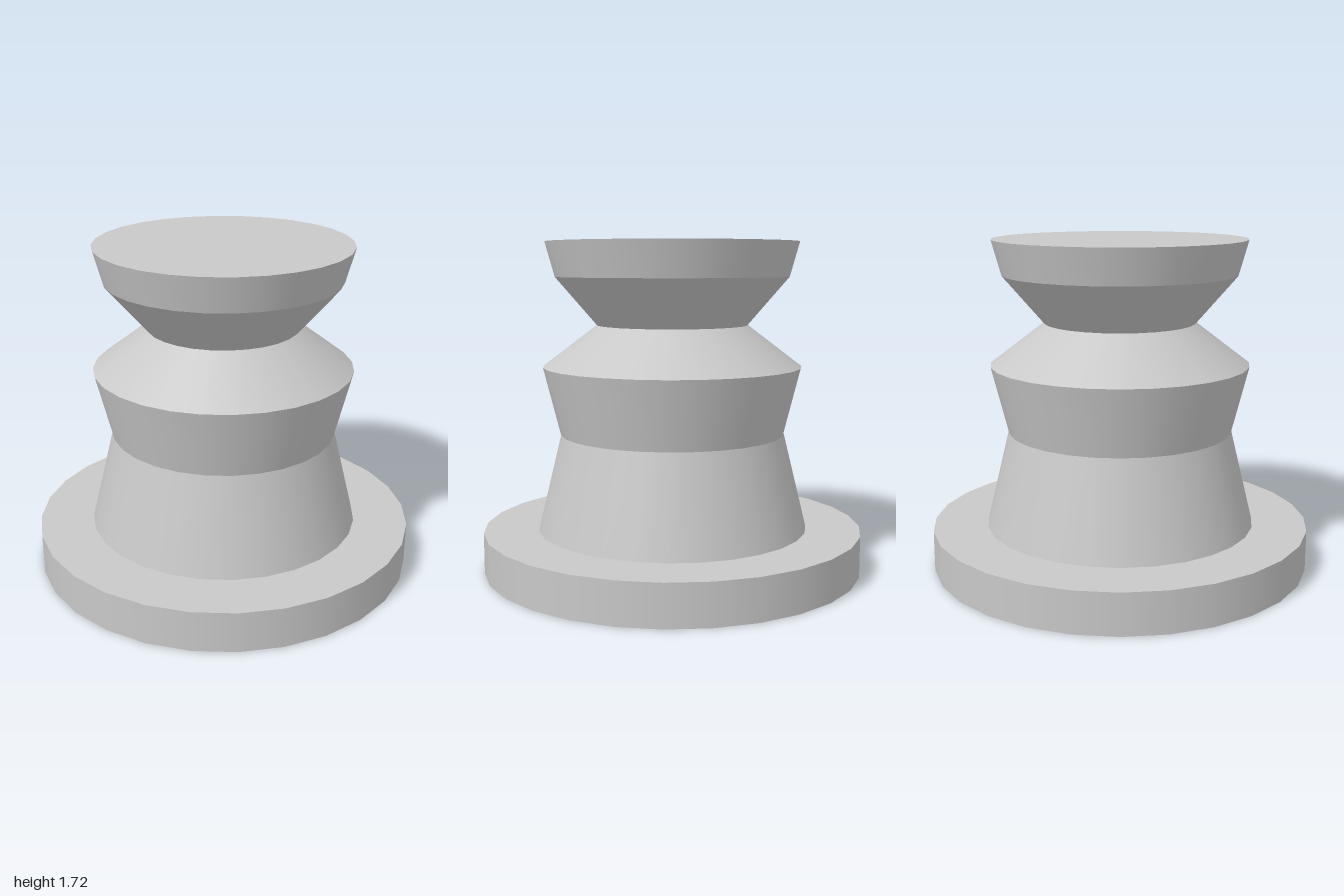
import * as THREE from 'three';

const SIDES = 28;

export function createModel() {
  const model = new THREE.Group();
  model.name = 'turnedPedestal';

  const grey = new THREE.MeshStandardMaterial({ color: 0xc8c8c8 });
  grey.name = 'light grey';

  // One straight-sided ring of the turned shape, smooth around and sharp at its rims
  function addBand(name, [bottomRadius, bottomY], [topRadius, topY]) {
    const geometry = new THREE.CylinderGeometry(topRadius, bottomRadius, topY - bottomY, SIDES, 1, true);
    const band = new THREE.Mesh(geometry, grey);
    band.name = name;
    band.position.y = (bottomY + topY) / 2;
    model.add(band);
  }

  // Round foot plate
  const base = new THREE.Mesh(new THREE.CylinderGeometry(1, 1, 0.215, SIDES), grey);
  base.name = 'base';
  base.position.y = 0.215 / 2;
  model.add(base);

  // Body profile from the base to the rim: radius, height
  const profile = [[0.714, 0.215], [0.59, 0.72], [0.678, 1.075], [0.395, 1.29], [0.61, 1.54], [0.66, 1.72]];
  const names = ['lowerBody', 'upperBody', 'shoulder', 'headUnderside', 'headRim'];
  names.forEach((name, i) => addBand(name, profile[i], profile[i + 1]));

  // Flat lid closing the head
  const top = new THREE.Mesh(new THREE.CircleGeometry(0.66, SIDES), grey);
  top.name = 'headTop';
  top.rotation.x = -Math.PI / 2;
  top.position.y = 1.72;
  model.add(top);

  return model;
}
